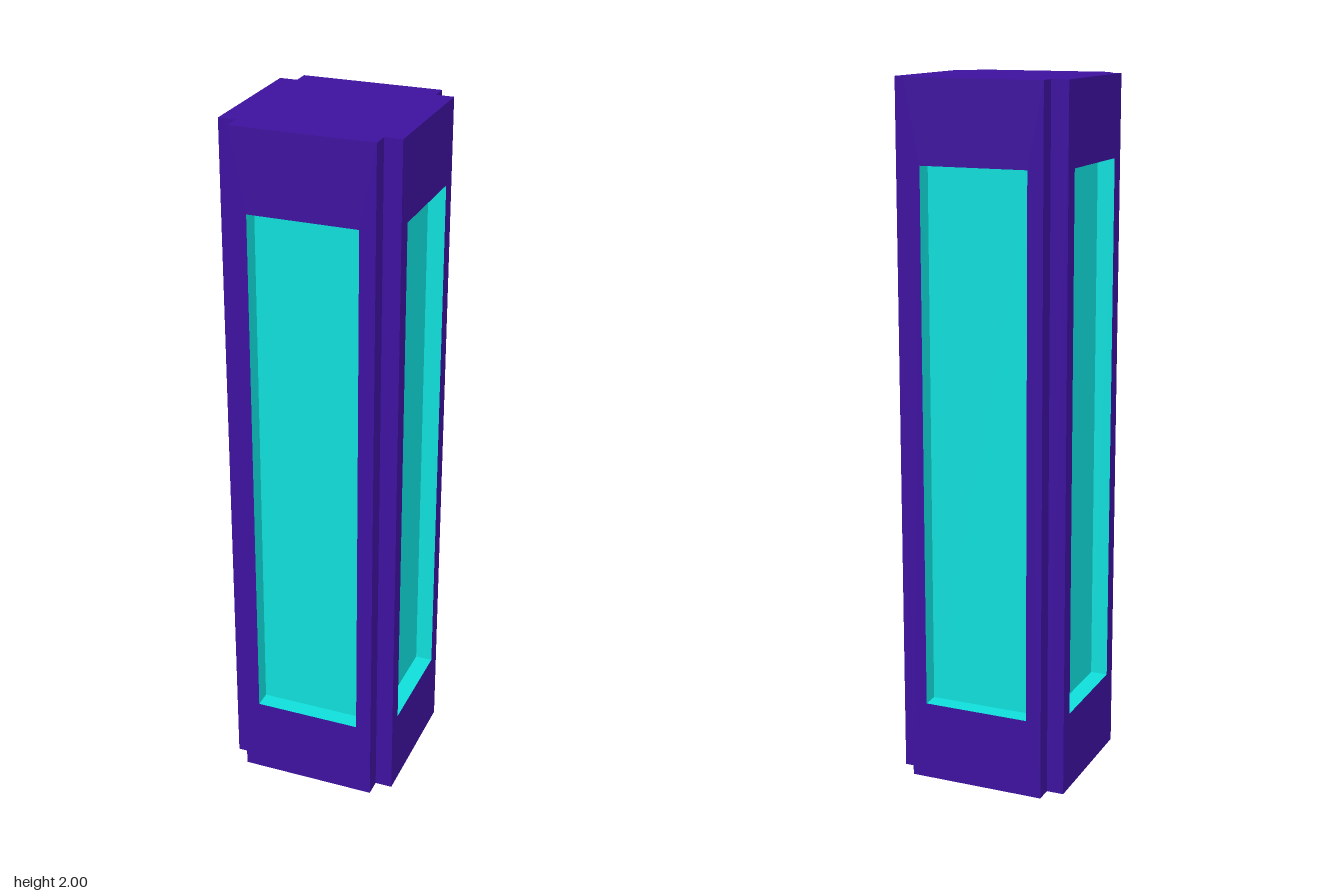
import * as THREE from 'three';
import { mergeGeometries } from 'three/addons/utils/BufferGeometryUtils.js';

const HEIGHT = 2, OUTER = 0.25, INNER = 0.2; // outer face and notch/recess planes
const WIN_X = 0.155, WIN_LOW = 0.23, WIN_HIGH = 1.77; // window opening
const MID_Y = HEIGHT / 2, MID_Z = (OUTER + INNER) / 2, DEPTH = OUTER - INNER;

const rectangle = (Type, x, y0, y1) => {
  const r = new Type();
  r.moveTo(-x, y0);
  r.lineTo(x, y0);
  r.lineTo(x, y1);
  r.lineTo(-x, y1);
  r.closePath();
  return r;
};

// Flat panel, turned about x then y, then moved into place
const panel = (w, h, rx, ry, x, y, z) =>
  new THREE.PlaneGeometry(w, h).rotateX(rx).rotateY(ry).translate(x, y, z);

// Front face with its window opening, plus the two notch walls beside it
function frameGeometry() {
  const face = rectangle(THREE.Shape, INNER, 0, HEIGHT);
  face.holes.push(rectangle(THREE.Path, WIN_X, WIN_LOW, WIN_HIGH));
  const parts = [new THREE.ShapeGeometry(face).translate(0, 0, OUTER)];
  for (const s of [-1, 1])
    parts.push(panel(DEPTH, HEIGHT, 0, s * Math.PI / 2, s * INNER, MID_Y, MID_Z));
  return mergeGeometries(parts);
}

// Recessed pane with the four reveals around it
function windowGeometry() {
  const h = WIN_HIGH - WIN_LOW;
  const parts = [panel(2 * WIN_X, h, 0, 0, 0, MID_Y, INNER)];
  for (const s of [-1, 1]) {
    parts.push(panel(DEPTH, h, 0, -s * Math.PI / 2, s * WIN_X, MID_Y, MID_Z));
    parts.push(panel(2 * WIN_X, DEPTH, s * Math.PI / 2, 0, 0, MID_Y + s * h / 2, MID_Z));
  }
  return mergeGeometries(parts);
}

// Square end cap with notched corners
function capGeometry() {
  const points = [];
  for (let i = 0; i < 4; i++) {
    for (const [x, y] of [[OUTER, -INNER], [OUTER, INNER], [INNER, INNER]])
      points.push(new THREE.Vector2(x, y).rotateAround(new THREE.Vector2(), i * Math.PI / 2));
  }
  return new THREE.ShapeGeometry(new THREE.Shape(points));
}

export function createModel() {
  const model = new THREE.Group();
  model.name = 'lanternColumn';
  const casing = new THREE.MeshStandardMaterial({ color: 0x3d119e });
  const glow = new THREE.MeshStandardMaterial({ color: 0x0fdedb });
  const add = (parent, name, geometry, material) => {
    const mesh = new THREE.Mesh(geometry, material);
    mesh.name = name;
    parent.add(mesh);
    return mesh;
  };

  // Four identical sides
  const frame = frameGeometry(), pane = windowGeometry();
  ['front', 'left', 'back', 'right'].forEach((name, i) => {
    const side = new THREE.Group();
    side.name = name + 'Side';
    side.rotation.y = i * Math.PI / 2;
    add(side, 'frame', frame, casing);
    add(side, 'window', pane, glow);
    model.add(side);
  });

  // Top and bottom
  const cap = capGeometry();
  const top = add(model, 'topCap', cap, casing);
  top.rotation.x = -Math.PI / 2;
  top.position.y = HEIGHT;
  add(model, 'bottomCap', cap, casing).rotation.x = Math.PI / 2;
  return model;
}
